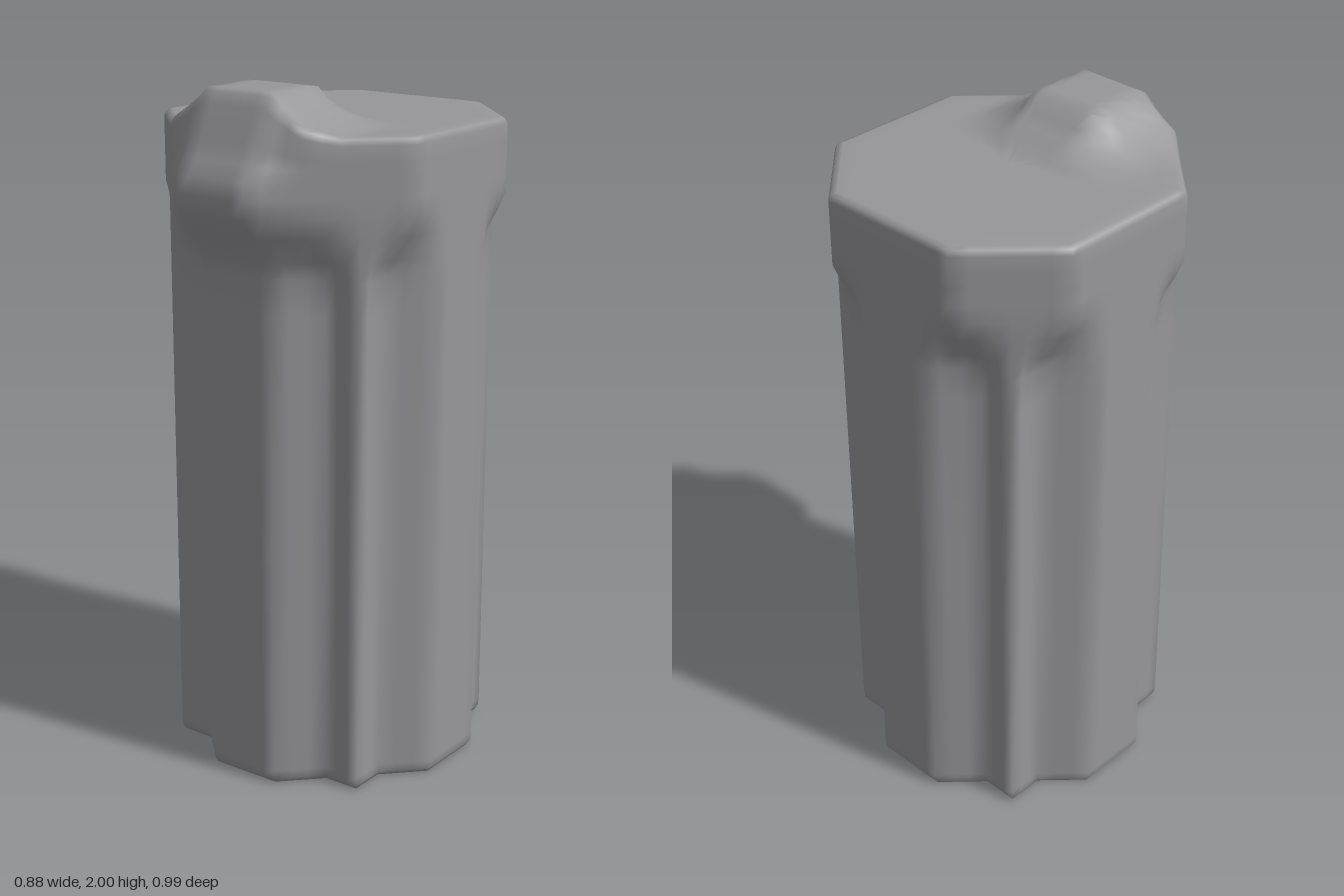
import * as THREE from 'three';
import { mergeVertices } from 'three/addons/utils/BufferGeometryUtils.js';

const CENTER_Z = -0.055;
const SUB = 3; // subdivisions of each outline edge

// One quadrant of each outline, from +x toward +z
const SHAFT = [[0.44, 0], [0.44, 0.11], [0.33, 0.22], [0.33, 0.33], [0.22, 0.33], [0.11, 0.44]];
const HEAD = [[0.44, 0], [0.44, 0.11], [0.44, 0.22], [0.33, 0.33], [0.22, 0.44], [0.11, 0.44]];

// Repeat the quadrant four times and subdivide its edges
function outline(quadrant) {
  const corners = [];
  for (let q = 0; q < 4; q++) {
    for (const [x, z] of quadrant) {
      corners.push([[x, z], [-z, x], [-x, -z], [z, -x]][q]);
    }
  }
  const points = [];
  corners.forEach((a, i) => {
    const b = corners[(i + 1) % corners.length];
    for (let k = 0; k < SUB; k++) {
      const t = k / SUB;
      points.push([a[0] + (b[0] - a[0]) * t, a[1] + (b[1] - a[1]) * t]);
    }
  });
  return points;
}

// Piecewise linear lookup in [input, output] pairs
function ramp(table, v) {
  if (v <= table[0][0]) return table[0][1];
  for (let i = 1; i < table.length; i++) {
    const [v0, r0] = table[i - 1], [v1, r1] = table[i];
    if (v <= v1) return r0 + (r1 - r0) * (v - v0) / (v1 - v0);
  }
  return table[table.length - 1][1];
}

const ACROSS = [[0.11, 1], [0.15, 0.64], [0.21, 0.27], [0.28, 0]];
const ALONG = [[0, 0], [0.05, 0.27], [0.13, 0.64], [0.17, 1]];

// Rings from bottom to top: [height, scale, blend shaft to head, spout offset]
const RINGS = [
  [0, 0, 0, 0], [0, 0.92, 0, 0], [0, 0.97, 0, 0], [0.015, 0.995, 0, 0], [0.04, 1, 0, 0],
  [0.7, 1, 0, 0], [1.4, 1, 0, 0], [1.5, 1, 0.1, 0], [1.55, 1, 0.3, 0.02],
  [1.62, 1, 0.75, 0.06], [1.68, 1, 1, 0.11], [1.73, 1, 1, 0.113], [1.78, 1, 1, 0.11],
  [1.8, 1, 1, 0.075], [1.825, 1, 1, 0.052], [1.87, 1, 1, 0.012], [1.885, 0.985, 1, 0],
];
for (let s = 0.95; s > 0.05; s -= 0.09) RINGS.push([1.89, s, 1, 0]);
RINGS.push([1.89, 0, 1, 0]);

function columnGeometry() {
  const shaft = outline(SHAFT), head = outline(HEAD), n = shaft.length;
  const positions = [], index = [];
  RINGS.forEach(([y, scale, blend, spout], r) => {
    for (let j = 0; j < n; j++) {
      const x = scale * (shaft[j][0] + (head[j][0] - shaft[j][0]) * blend);
      let z = scale * (shaft[j][1] + (head[j][1] - shaft[j][1]) * blend) + CENTER_Z;
      // Raised hump on top of the head, toward the front
      const hump = ramp(ACROSS, Math.abs(x)) * ramp(ALONG, z);
      const height = y + Math.max(0, y - 1.78) * hump;
      // Rounded spout pushed out of the front face
      if (z > 0) z += spout * Math.min(1, Math.max(0, (0.22 - Math.abs(x)) / 0.11));
      positions.push(x, height, z);
      if (r > 0) {
        const k = (j + 1) % n;
        const a = (r - 1) * n + j, b = (r - 1) * n + k, c = r * n + j, d = r * n + k;
        if (RINGS[r - 1][1] > 0) index.push(a, c, b);
        if (scale > 0) index.push(b, c, d);
      }
    }
  });
  const geometry = new THREE.BufferGeometry();
  geometry.setAttribute('position', new THREE.Float32BufferAttribute(positions, 3));
  geometry.setIndex(index);
  const merged = mergeVertices(geometry, 1e-5);
  merged.computeVertexNormals();
  return merged;
}

export function createModel() {
  const group = new THREE.Group();
  group.name = 'flutedColumn';

  const grey = new THREE.MeshStandardMaterial({ color: 0x97969b });
  grey.name = 'grey';

  // Fluted shaft, octagonal head and front spout as one smooth skin
  const column = new THREE.Mesh(columnGeometry(), grey);
  column.name = 'columnWithSpout';
  group.add(column);
  return group;
}
